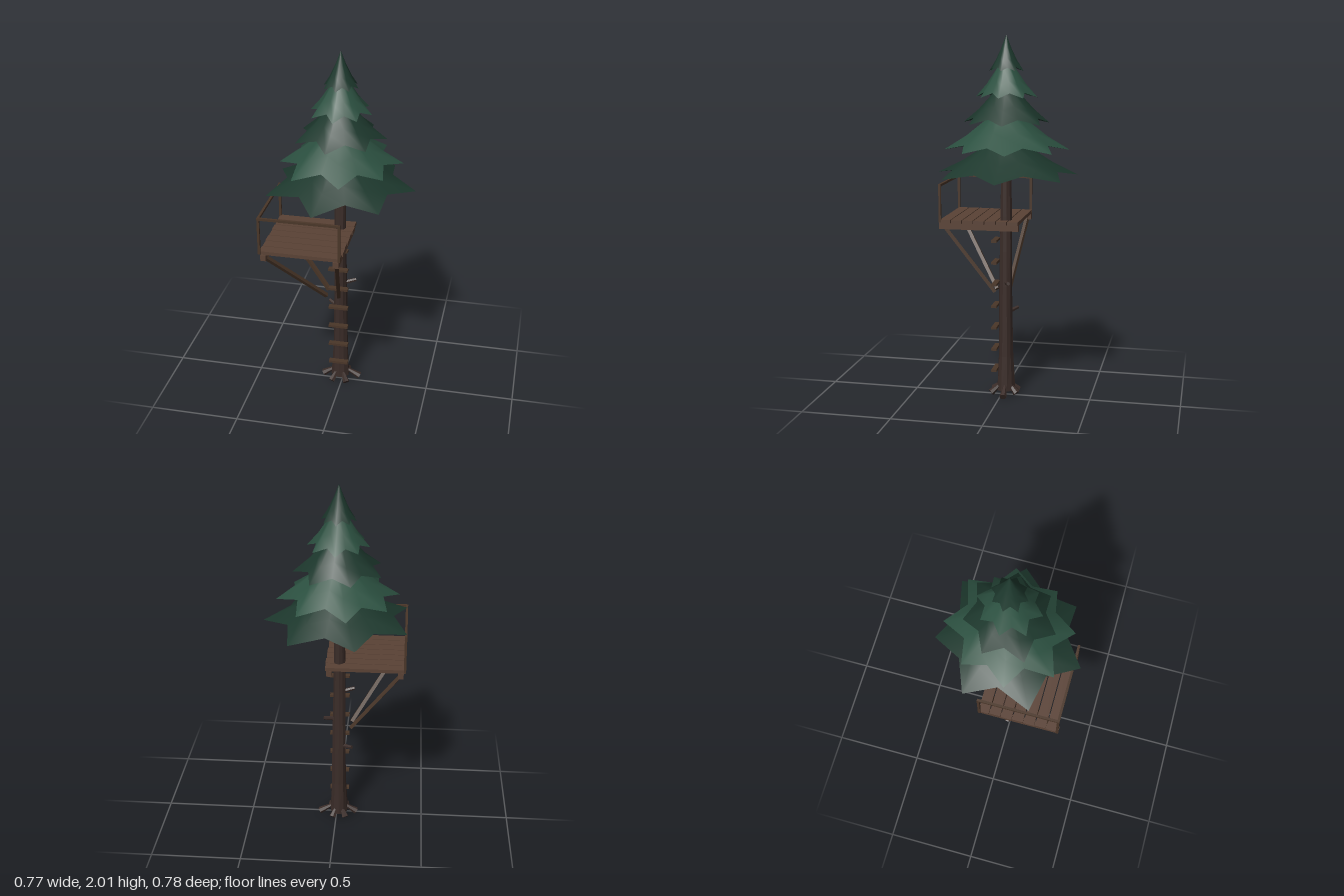
import * as THREE from 'three';

const CX = -0.015, CZ = -0.02; // trunk axis
const V = (x, y, z) => new THREE.Vector3(x, y, z);
const mat = (color, opts = {}) => new THREE.MeshStandardMaterial({ color, ...opts });

export function createModel() {
  const root = new THREE.Group();
  const bark = mat(0x3a2c28, { flatShading: true });
  const plankWood = mat(0x5a4235);
  const railWood = mat(0x4a3628);
  const darkGreen = mat(0x1d382d, { side: THREE.DoubleSide });
  const lightGreen = mat(0x2c5141, { side: THREE.DoubleSide });

  const add = (name, geo, material, parent = root) => {
    const m = new THREE.Mesh(geo, material);
    m.name = name;
    parent.add(m);
    return m;
  };
  const group = (name) => {
    const g = new THREE.Group();
    g.name = name;
    root.add(g);
    return g;
  };
  const box = (name, w, h, d, x, y, z, material, parent) =>
    add(name, new THREE.BoxGeometry(w, h, d), material, parent).position.set(x, y, z);
  // Place a y-aligned geometry so that it runs from a to b
  const between = (name, a, b, makeGeo, material, parent) => {
    const dir = b.clone().sub(a);
    const m = add(name, makeGeo(dir.length()), material, parent);
    m.position.copy(a).add(b).multiplyScalar(0.5);
    m.quaternion.setFromUnitVectors(V(0, 1, 0), dir.normalize());
  };

  // Trunk: tapered, slightly uneven and flared at the foot
  const trunkGeo = new THREE.CylinderGeometry(1, 1, 1.6, 10, 8);
  const p = trunkGeo.attributes.position;
  for (let i = 0; i < p.count; i++) {
    const t = p.getY(i) / 1.6 + 0.5;
    const a = Math.atan2(p.getZ(i), p.getX(i));
    const r = (0.044 - 0.019 * t + 0.008 * Math.max(0, 1 - t * 10)) * (1 + 0.05 * Math.sin(a * 3 + t * 9));
    p.setXYZ(i, p.getX(i) * r, p.getY(i), p.getZ(i) * r);
  }
  trunkGeo.computeVertexNormals();
  add('trunk', trunkGeo, bark).position.set(CX, 0.82, CZ);

  // Roots
  const roots = group('roots');
  [0.112, 0.09, 0.085, 0.1, 0.075, 0.075].forEach((len, i) => {
    const a = (i / 6) * Math.PI * 2 - 0.05;
    const at = (r, y) => V(CX + Math.cos(a) * r, y, CZ + Math.sin(a) * r);
    between('root', at(0.025, 0.06), at(len, 0.01), (l) => new THREE.CylinderGeometry(0.007, 0.02, l, 6).rotateX(0)
      .scale(1, 1, 1), bark, roots);
  });
  // Thick end of each root sits at the trunk
  roots.children.forEach((r) => r.geometry.rotateX(Math.PI));

  // Broken branch stubs
  const stubs = group('branchStubs');
  [[V(-0.03, 0.808, -0.01), V(-0.1, 0.826, 0.0)],
   [V(0.0, 0.64, -0.025), V(0.07, 0.655, -0.05)],
   [V(-0.03, 0.468, -0.03), V(-0.09, 0.484, -0.075)]].forEach(([a, b]) =>
    between('branchStub', a, b, (l) => new THREE.CylinderGeometry(0.01, 0.013, l, 6), bark, stubs));

  // Climbing rungs up the front of the trunk
  const ladder = group('ladder');
  for (let i = 0; i < 7; i++)
    box('rung', 0.11, 0.013, 0.03, CX, 0.14 + i * 0.1235, 0.038, railWood, ladder);

  // Platform: planks over two joists
  const platform = group('platform');
  for (let i = 0; i < 7; i++)
    box('plank', 0.436, 0.02, 0.058, -0.16 + (i % 2) * 0.003, 0.986, -0.071 + i * 0.0632, plankWood, platform);
  for (const x of [-0.355, 0.037])
    box('joist', 0.03, 0.034, 0.446, x, 0.96, 0.122, plankWood, platform);

  // Railing on the two outer sides
  const railing = group('railing');
  for (const [x, z] of [[-0.376, 0.338], [0.054, 0.338], [-0.376, -0.094]])
    box('railPost', 0.013, 0.21, 0.013, x, 1.085, z, railWood, railing);
  box('frontRail', 0.443, 0.013, 0.013, -0.161, 1.187, 0.338, railWood, railing);
  box('sideRail', 0.013, 0.013, 0.445, -0.376, 1.187, 0.122, railWood, railing);

  // Diagonal braces from the trunk to three platform corners
  const braces = group('braces');
  [[V(-0.362, 0.965, 0.325), V(-0.082, 0.585, 0.043)],
   [V(0.037, 0.965, 0.325), V(-0.012, 0.585, 0.043)],
   [V(-0.362, 0.965, -0.078), V(-0.082, 0.585, -0.024)]].forEach(([a, b]) =>
    between('brace', a, b, (l) => new THREE.BoxGeometry(0.02, l, 0.02), railWood, braces));

  // Foliage tier: star-edged drooping skirt with an underside
  const tier = (points, radius, yTip, yTop, lift, offset, wobble) => {
    const n = points * 2;
    const pos = [], idx = [];
    const ring = (k, y, star) => {
      for (let i = 0; i < n; i++) {
        const valley = i % 2;
        const a = offset + (i / n) * Math.PI * 2;
        const r = radius * k * (valley ? 1 - 0.27 * star : 1 + wobble * Math.sin(i * 2.3) * star);
        pos.push(Math.cos(a) * r, y + (valley ? lift * star : 0), Math.sin(a) * r);
      }
    };
    const h = yTop - yTip;
    ring(0.003, yTop, 0);
    ring(0.3, yTip + h * 0.62, 0.5);
    ring(0.64, yTip + h * 0.28, 0.8);
    ring(1, yTip, 1);
    for (let j = 0; j < 3; j++)
      for (let i = 0; i < n; i++) {
        const a = j * n + i, b = j * n + ((i + 1) % n);
        idx.push(a, b, a + n, b, b + n, a + n);
      }
    // separate underside keeps the rim sharp
    const s = pos.length / 3;
    ring(1, yTip, 1);
    pos.push(0, yTip + h * 0.2, 0);
    for (let i = 0; i < n; i++) idx.push(s + i, s + ((i + 1) % n), s + n);
    // outward winding
    for (let i = 0; i < idx.length; i += 3) [idx[i + 1], idx[i + 2]] = [idx[i + 2], idx[i + 1]];
    const g = new THREE.BufferGeometry();
    g.setAttribute('position', new THREE.Float32BufferAttribute(pos, 3));
    g.setIndex(idx);
    g.computeVertexNormals();
    return g;
  };
  const foliage = group('foliage');
  [[7, 0.405, 1.245, 1.5, 0.03, -0.05, 0.03],
   [8, 0.335, 1.385, 1.66, 0.03, -0.17, 0.05],
   [7, 0.245, 1.53, 1.79, 0.028, -0.1, 0.04],
   [8, 0.168, 1.67, 1.92, 0.025, 0.05, 0.05],
   [8, 0.095, 1.81, 2.0, 0.018, 0.1, 0.04]].forEach((t, i) =>
    add('foliageTier', tier(...t), i % 2 ? lightGreen : darkGreen, foliage).position.set(-0.012, 0, -0.022));

  return root;
}
